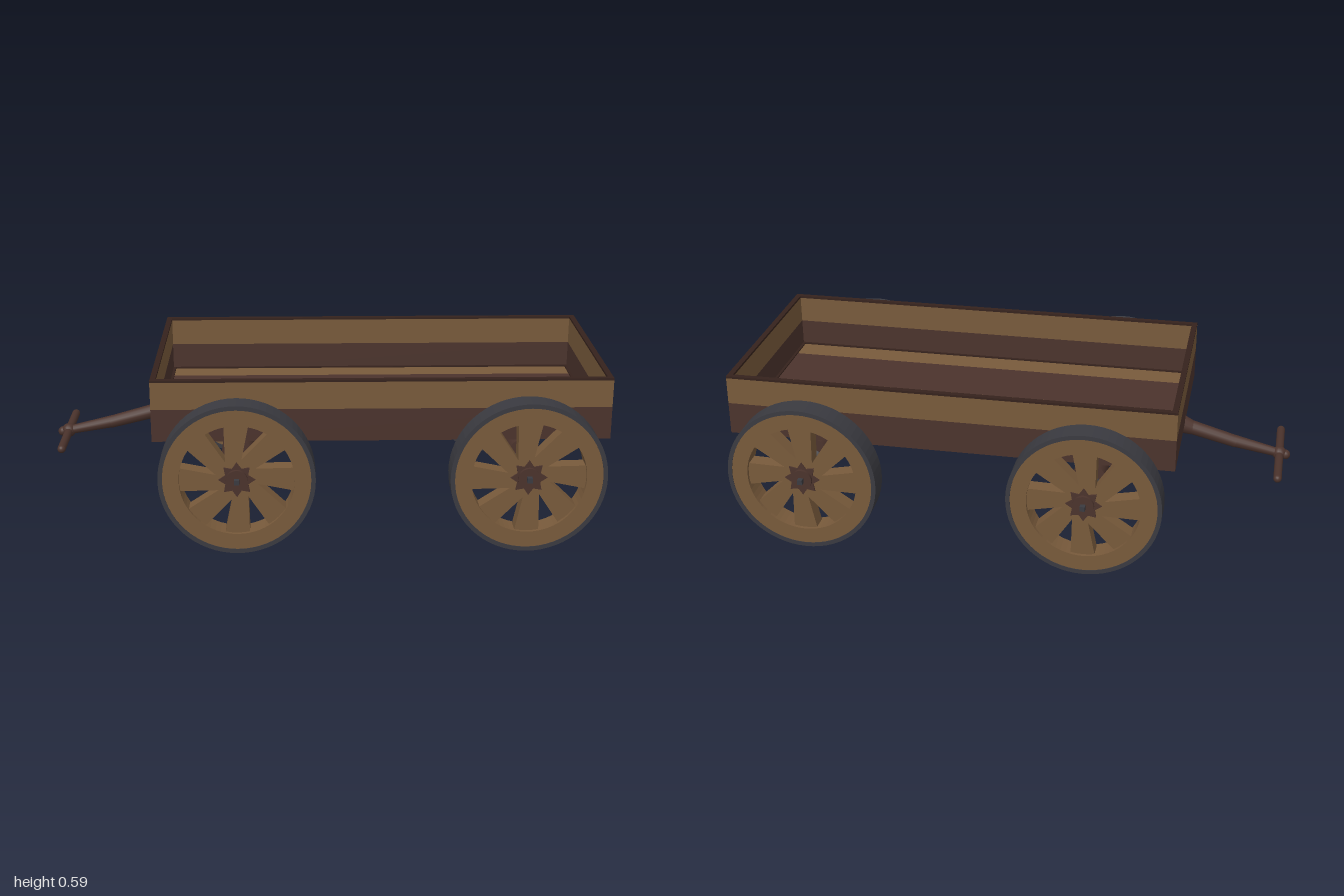
import * as THREE from 'three';

const flat = (name, color) => {
  const m = new THREE.MeshStandardMaterial({ color });
  m.name = name;
  return m;
};

export function createModel() {
  const wood = flat('lightWood', 0x785a3b);
  const brown = flat('darkWood', 0x4b332c);
  const iron = flat('iron', 0x3a3a40);
  const edge = flat('rimWood', 0x35221c);

  const root = new THREE.Group();
  root.name = 'wagon';
  const add = (parent, name, geo, mat, x = 0, y = 0, z = 0) => {
    const m = new THREE.Mesh(geo, mat);
    m.name = name;
    m.position.set(x, y, z);
    parent.add(m);
    return m;
  };

  // Box body: four walls, each a dark lower board, light upper board and dark cap
  const X0 = -0.61, X1 = 1.0, Z = 0.4, T = 0.02;
  const cx = (X0 + X1) / 2, len = X1 - X0;
  const courses = [
    ['lowerBoard', 0.37, 0.488, brown],
    ['upperBoard', 0.488, 0.586, wood],
    ['topCap', 0.586, 0.594, edge],
  ];
  for (const [name, y0, y1, mat] of courses) {
    const h = y1 - y0, y = (y0 + y1) / 2;
    for (const s of [-1, 1]) {
      add(root, name + 'Side', new THREE.BoxGeometry(len, h, T), mat, cx, y, s * (Z - T / 2));
      add(root, name + 'End', new THREE.BoxGeometry(T, h, 2 * (Z - T)), mat,
        cx + s * (len / 2 - T / 2), y, 0);
    }
  }

  // Floor planks of uneven width
  const cuts = [-0.38, -0.28, -0.225, -0.09, -0.037, 0.035, 0.275, 0.38];
  for (let i = 0; i < cuts.length - 1; i++) {
    add(root, 'floorPlank', new THREE.BoxGeometry(len - 2 * T, 0.015, cuts[i + 1] - cuts[i]),
      i % 2 ? brown : wood, cx, 0.382, (cuts[i] + cuts[i + 1]) / 2);
  }
  // Dark seam where floor meets walls
  for (const s of [-1, 1]) {
    add(root, 'floorSeamSide', new THREE.BoxGeometry(len - 2 * T, 0.018, 0.01), edge, cx, 0.385, s * 0.375);
    add(root, 'floorSeamEnd', new THREE.BoxGeometry(0.01, 0.018, 0.76), edge, cx + s * (len / 2 - 0.025), 0.385, 0);
  }

  // Wheel geometry, centred on its own axis along z
  const R = 0.2725, W = 0.085;
  const ring = (outer, inner, depth) => {
    const s = new THREE.Shape().absarc(0, 0, outer, 0, Math.PI * 2);
    s.holes.push(new THREE.Path().absarc(0, 0, inner, 0, Math.PI * 2, true));
    return new THREE.ExtrudeGeometry(s, { depth, bevelEnabled: false, curveSegments: 32 })
      .translate(0, 0, -depth / 2);
  };
  const tireGeo = ring(R, 0.257, W);
  const felloeGeo = ring(0.2575, 0.2, W - 0.004);

  // Spoked disc: eight wedge openings leave spokes that widen outwards
  const disc = new THREE.Shape().absarc(0, 0, 0.21, 0, Math.PI * 2);
  for (let i = 0; i < 8; i++) {
    const a = (i + 0.5) * Math.PI / 4;
    const hole = new THREE.Path();
    hole.moveTo(0.075 * Math.cos(a - 0.16), 0.075 * Math.sin(a - 0.16));
    hole.absarc(0, 0, 0.2, a - 0.18, a + 0.18);
    hole.lineTo(0.075 * Math.cos(a + 0.16), 0.075 * Math.sin(a + 0.16));
    hole.closePath();
    disc.holes.push(hole);
  }
  const spokeGeo = new THREE.ExtrudeGeometry(disc, { depth: 0.056, bevelEnabled: false, curveSegments: 24 })
    .translate(0, 0, -0.028);

  // Hub: eight-pointed star plate with a round boss
  const star = new THREE.Shape();
  for (let i = 0; i < 16; i++) {
    const a = i * Math.PI / 8, r = i % 2 ? 0.043 : 0.064;
    star[i ? 'lineTo' : 'moveTo'](r * Math.cos(a), r * Math.sin(a));
  }
  const starGeo = new THREE.ExtrudeGeometry(star, { depth: 0.066, bevelEnabled: false }).translate(0, 0, -0.033);
  const bossGeo = new THREE.CylinderGeometry(0.038, 0.038, 0.088, 20).rotateX(Math.PI / 2);
  const pinGeo = new THREE.BoxGeometry(0.018, 0.018, 0.125);

  // Iron axle arm: flares at the beam and again at the wheel
  const armGeo = new THREE.LatheGeometry([
    [0, 0.385], [0.05, 0.385], [0.046, 0.398], [0.03, 0.408], [0.025, 0.42],
    [0.027, 0.435], [0.034, 0.446], [0.034, 0.46],
  ].map(p => new THREE.Vector2(...p)), 20).rotateX(Math.PI / 2);

  for (const x of [-0.31, 0.7]) {
    // Axle beam carrying the box
    const beam = new THREE.CylinderGeometry(0.058, 0.058, 0.79, 24).rotateX(Math.PI / 2);
    add(root, 'axleBeam', beam, brown, x, 0.313, 0);
    for (const s of [-1, 1]) {
      const arm = add(root, 'axleArm', armGeo, iron, x, 0.28, 0);
      if (s < 0) arm.rotation.y = Math.PI;
      const wheel = new THREE.Group();
      wheel.name = 'wheel';
      wheel.position.set(x, R, s * 0.487);
      add(wheel, 'tire', tireGeo, iron);
      add(wheel, 'felloe', felloeGeo, wood);
      add(wheel, 'spokes', spokeGeo, wood);
      add(wheel, 'hubStar', starGeo, brown);
      add(wheel, 'hubBoss', bossGeo, brown);
      add(wheel, 'axlePin', pinGeo, iron);
      root.add(wheel);
    }
  }

  // Pull tongue sloping down from the box, with a cross handle
  const rod = (name, a, b, ra, rb) => {
    const p = new THREE.Vector3(...a), q = new THREE.Vector3(...b);
    const m = add(root, name, new THREE.CylinderGeometry(rb, ra, p.distanceTo(q), 14), brown);
    m.position.copy(p).lerp(q, 0.5);
    m.quaternion.setFromUnitVectors(new THREE.Vector3(0, 1, 0), q.sub(p).normalize());
  };
  rod('tongueSocket', [-0.59, 0.358, 0], [-0.64, 0.342, 0], 0.036, 0.026);
  rod('tongue', [-0.6, 0.354, 0], [-0.8, 0.301, 0], 0.027, 0.023);
  rod('tongueTip', [-0.79, 0.304, 0], [-0.985, 0.264, 0], 0.023, 0.015);
  add(root, 'tongueKnob', new THREE.SphereGeometry(0.018, 14, 10), brown, -0.982, 0.265, 0);
  add(root, 'handle', new THREE.CapsuleGeometry(0.015, 0.39, 6, 14).rotateX(Math.PI / 2), brown, -0.96, 0.267, 0);
  add(root, 'handleCollar', new THREE.SphereGeometry(0.026, 14, 10), brown, -0.96, 0.269, 0);

  return root;
}
